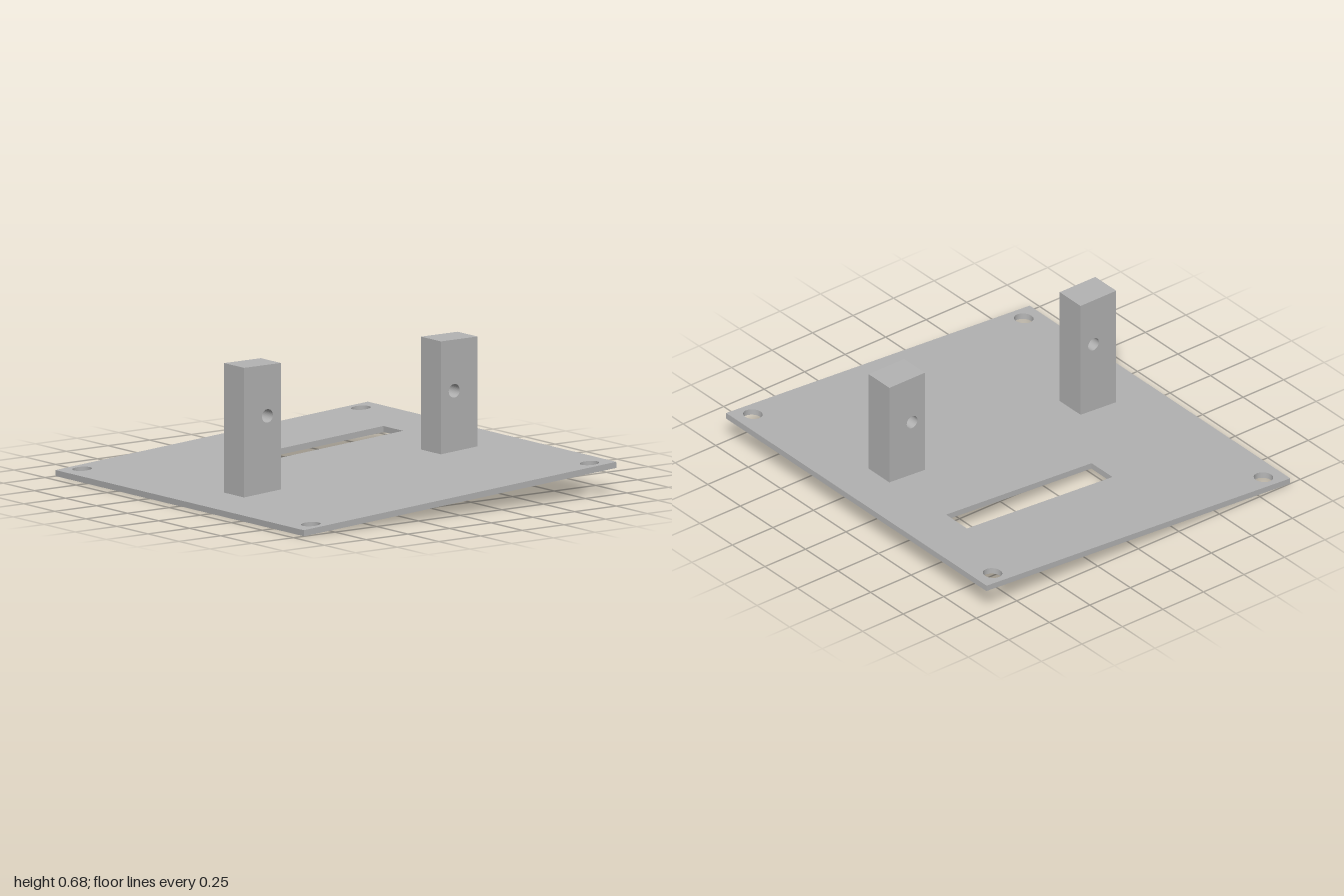
import * as THREE from 'three';

const TILT = THREE.MathUtils.degToRad(3.95);
const THICK = 0.03;
const HALF_X = 0.939, HALF_Z = 1;
const MID_Y = HALF_X * Math.sin(TILT) + THICK / 2 * Math.cos(TILT);

// height of the sloping top face of the plate at x
const plateTop = (x) => MID_Y + THICK / 2 / Math.cos(TILT) + x * Math.tan(TILT);

function polygon(points) {
  return new THREE.Shape(points.map(([x, y]) => new THREE.Vector2(x, y)));
}

function roundHole(x, y, r) {
  return new THREE.Path().absarc(x, y, r, 0, Math.PI * 2, true);
}

function extrude(shape, depth) {
  return new THREE.ExtrudeGeometry(shape, { depth, bevelEnabled: false, curveSegments: 32 });
}

export function createModel() {
  const model = new THREE.Group();
  model.name = 'tiltedBracketPlate';
  const grey = new THREE.MeshStandardMaterial({ color: 0xb3b3b3 });
  grey.name = 'grey';

  // Tilted base plate with four corner holes and a slot (shape y is -z)
  const outline = polygon([[-HALF_X, -HALF_Z], [HALF_X, -HALF_Z], [HALF_X, HALF_Z], [-HALF_X, HALF_Z]]);
  for (const sx of [-1, 1]) {
    for (const sz of [-1, 1]) outline.holes.push(roundHole(sx * 0.838, sz * 0.92, 0.047));
  }
  outline.holes.push(polygon([[-0.23, 0.355], [-0.23, 0.515], [0.67, 0.515], [0.67, 0.355]]));
  const plateGeometry = extrude(outline, THICK);
  plateGeometry.translate(0, 0, -THICK / 2).rotateX(-Math.PI / 2);
  const plate = new THREE.Mesh(plateGeometry, grey);
  plate.name = 'basePlate';
  plate.rotation.z = TILT;
  plate.position.y = MID_Y;
  model.add(plate);

  // Upright posts, cut to the slope and drilled from front to back
  for (const side of [-1, 1]) {
    const [x0, x1] = side < 0 ? [-0.70, -0.48] : [0.48, 0.70];
    const face = polygon([[x0, plateTop(x0)], [x1, plateTop(x1)], [x1, 0.68], [x0, 0.68]]);
    face.holes.push(roundHole(side * 0.56, 0.43, 0.033));
    const post = new THREE.Mesh(extrude(face, 0.16), grey);
    post.name = side < 0 ? 'rightPost' : 'leftPost';
    post.position.z = 0.04;
    model.add(post);
  }
  return model;
}
